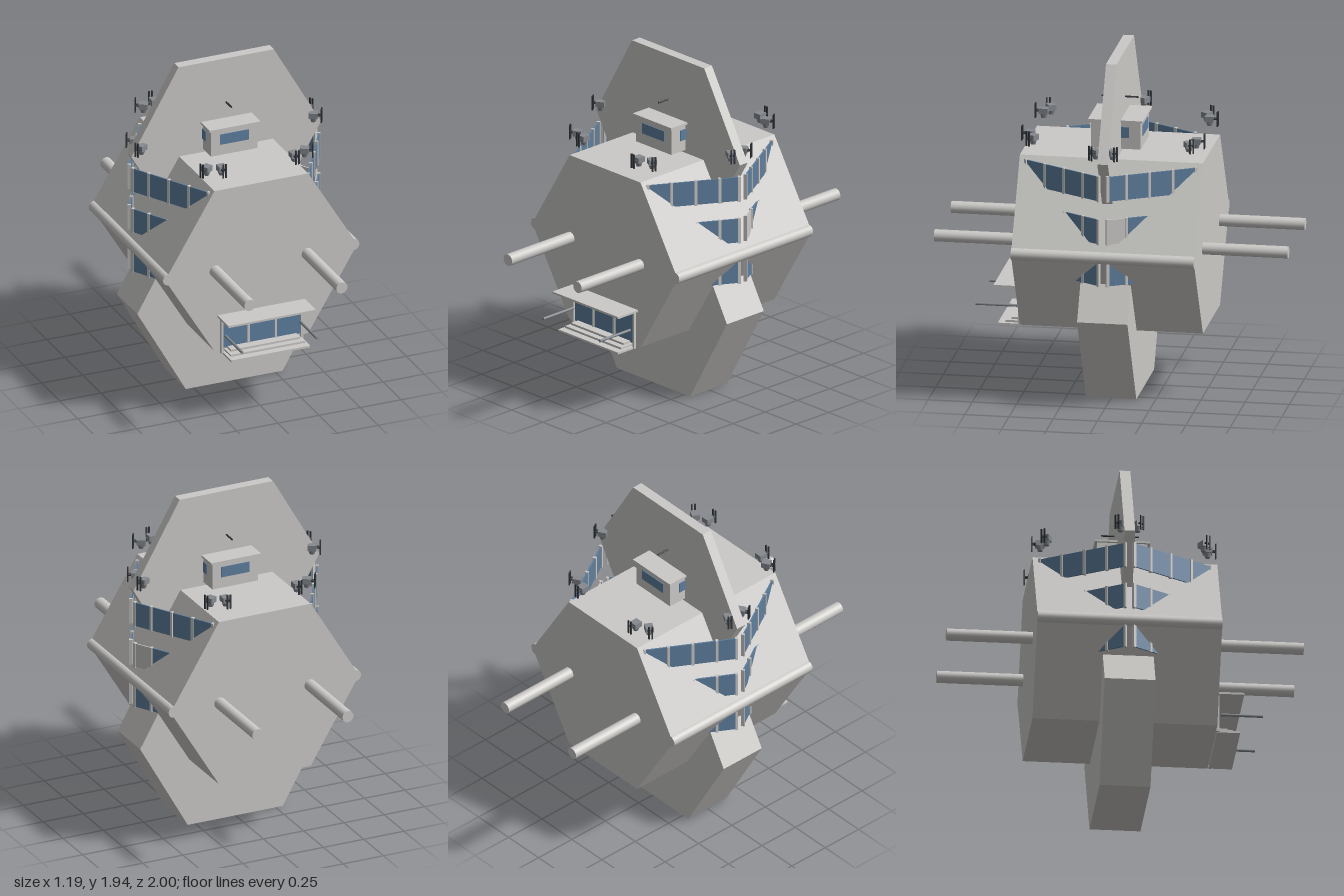
import * as THREE from 'three';

const mat = (name, color) => {
  const m = new THREE.MeshStandardMaterial({ color });
  m.name = name;
  return m;
};

export function createModel() {
  const hull = mat('hullGrey', 0xcbcac7);
  const glass = mat('glassBlue', 0x5f7f9f);
  const lampGrey = mat('lampGrey', 0x868b90);
  const dark = mat('darkMetal', 0x33373c);

  const root = new THREE.Group();
  root.name = 'station';

  const add = (name, geo, material, x = 0, y = 0, z = 0, parent = root) => {
    const m = new THREE.Mesh(geo, material);
    m.name = name;
    m.position.set(x, y, z);
    parent.add(m);
    return m;
  };
  const box = (name, w, h, d, material, x, y, z, parent) =>
    add(name, new THREE.BoxGeometry(w, h, d), material, x, y, z, parent);
  const rod = (name, r, len, material, x, y, z, parent, sides = 24) =>
    add(name, new THREE.CylinderGeometry(r, r, len, sides).rotateX(Math.PI / 2), material, x, y, z, parent);

  // Hexagonal slab centred on z = 0
  const hexSlab = (name, halfWidth, flat, halfHeight, depth, y) => {
    const s = new THREE.Shape([
      [halfWidth, 0], [flat, halfHeight], [-flat, halfHeight],
      [-halfWidth, 0], [-flat, -halfHeight], [flat, -halfHeight],
    ].map(([a, b]) => new THREE.Vector2(a, b)));
    const g = new THREE.ExtrudeGeometry(s, { depth, bevelEnabled: false });
    add(name, g.translate(0, 0, -depth / 2), hull, 0, y, 0);
  };
  hexSlab('mainHull', 0.585, 0.285, 0.495, 1.035, 0.893);
  hexSlab('upperFin', 0.577, 0.29, 0.5, 0.06, 1.44);
  hexSlab('lowerKeel', 0.59, 0.295, 0.52, 0.285, 0.52);

  // Long pipes through the hull and pipes along its side edges
  for (const s of [-1, 1]) {
    rod('longPipe', 0.034, 2, hull, s * 0.28, 0.893, 0);
    rod('edgePipe', 0.034, 1.035, hull, s * 0.563, 0.893, 0);
  }

  // Slanting window bands on three levels, sinking into the hull
  const stops = [0.025, 0.122, 0.241, 0.361, 0.478];
  const levels = [[1.295, 4], [1.045, 3], [0.802, 3]];
  const lineX = (z) => 0.58 - 0.58 * z;
  for (const sx of [-1, 1]) for (const sz of [-1, 1]) {
    const turn = Math.atan2(-sz, -sx * 0.58);
    levels.forEach(([y, count], level) => {
      const band = new THREE.Group();
      band.name = 'windowBand';
      root.add(band);
      for (let i = 0; i <= count; i++) {
        const z = stops[i];
        box('mullion', 0.015, 0.15, 0.02, hull, sx * lineX(z), y, sz * z, band).rotation.y = turn;
        if (i === count) break;
        const mid = (z + stops[i + 1]) / 2;
        const len = (stops[i + 1] - z) * Math.hypot(1, 0.58);
        const closed = level === 1 && i === 0 && sx > 0 && sz < 0;
        box(closed ? 'closedPanel' : 'windowPane', len, 0.142, 0.008,
          closed ? hull : glass, sx * lineX(mid), y, sz * mid, band).rotation.y = turn;
      }
    });
  }

  // Roof cabin
  box('cabin', 0.282, 0.16, 0.282, hull, 0, 1.487, 0);
  box('cabinRoof', 0.31, 0.012, 0.31, hull, 0, 1.569, 0);
  for (const s of [-1, 1]) {
    box('cabinWindow', 0.175, 0.062, 0.008, glass, 0, 1.503, s * 0.142);
    box('cabinSideWindow', 0.008, 0.062, 0.15, glass, s * 0.142, 1.503, 0);
  }
  rod('antenna', 0.005, 0.21, dark, 0, 1.67, 0, root, 8);

  // Floodlights: rounded body, two arms and two upright bars
  const floodlight = (x, z, nx, nz) => {
    const g = new THREE.Group();
    g.name = 'floodlight';
    g.position.set(x, 1.49, z);
    g.rotation.y = Math.atan2(nx, nz);
    root.add(g);
    box('lampBody', 0.046, 0.032, 0.05, lampGrey, 0, 0.008, 0, g);
    const belly = new THREE.CylinderGeometry(0.022, 0.014, 0.026, 10);
    add('lampBelly', belly, lampGrey, 0, -0.02, 0, g);
    for (const s of [-1, 1]) {
      rod('lampArm', 0.005, 0.03, dark, s * 0.009, 0.008, 0.034, g, 8);
      box('lampBar', 0.009, 0.085, 0.007, dark, s * 0.009, 0.008, 0.046, g);
    }
  };
  for (const sx of [-1, 1]) for (const sz of [-1, 1]) {
    floodlight(sx * 0.221, sz * 0.469, 0, sz);
    floodlight(sx * 0.298, sz * 0.44, sx * 0.86, sz * 0.5);
    floodlight(sx * 0.523, sz * 0.048, sx * 0.86, sz * 0.5);
  }

  // Entrance with canopy, glazing, steps and two poles
  const entrance = new THREE.Group();
  entrance.name = 'entrance';
  root.add(entrance);
  box('canopy', 0.53, 0.012, 0.155, hull, 0, 0.61, 0.593, entrance);
  box('entranceGlass', 0.49, 0.19, 0.008, glass, 0, 0.507, 0.521, entrance);
  for (const x of [-0.243, -0.083, 0.083, 0.243])
    box('entrancePost', 0.014, x * x > 0.02 ? 0.225 : 0.19, 0.016, hull, x,
      x * x > 0.02 ? 0.494 : 0.507, 0.525, entrance);
  box('topStep', 0.42, 0.012, 0.06, hull, 0, 0.412, 0.548, entrance);
  box('middleStep', 0.45, 0.012, 0.092, hull, 0, 0.398, 0.564, entrance);
  box('bottomStep', 0.48, 0.012, 0.13, hull, 0, 0.384, 0.585, entrance);
  for (const s of [-1, 1])
    rod('entrancePole', 0.008, 0.235, lampGrey, s * 0.228, 0.492, 0.66, entrance, 12);

  return root;
}
